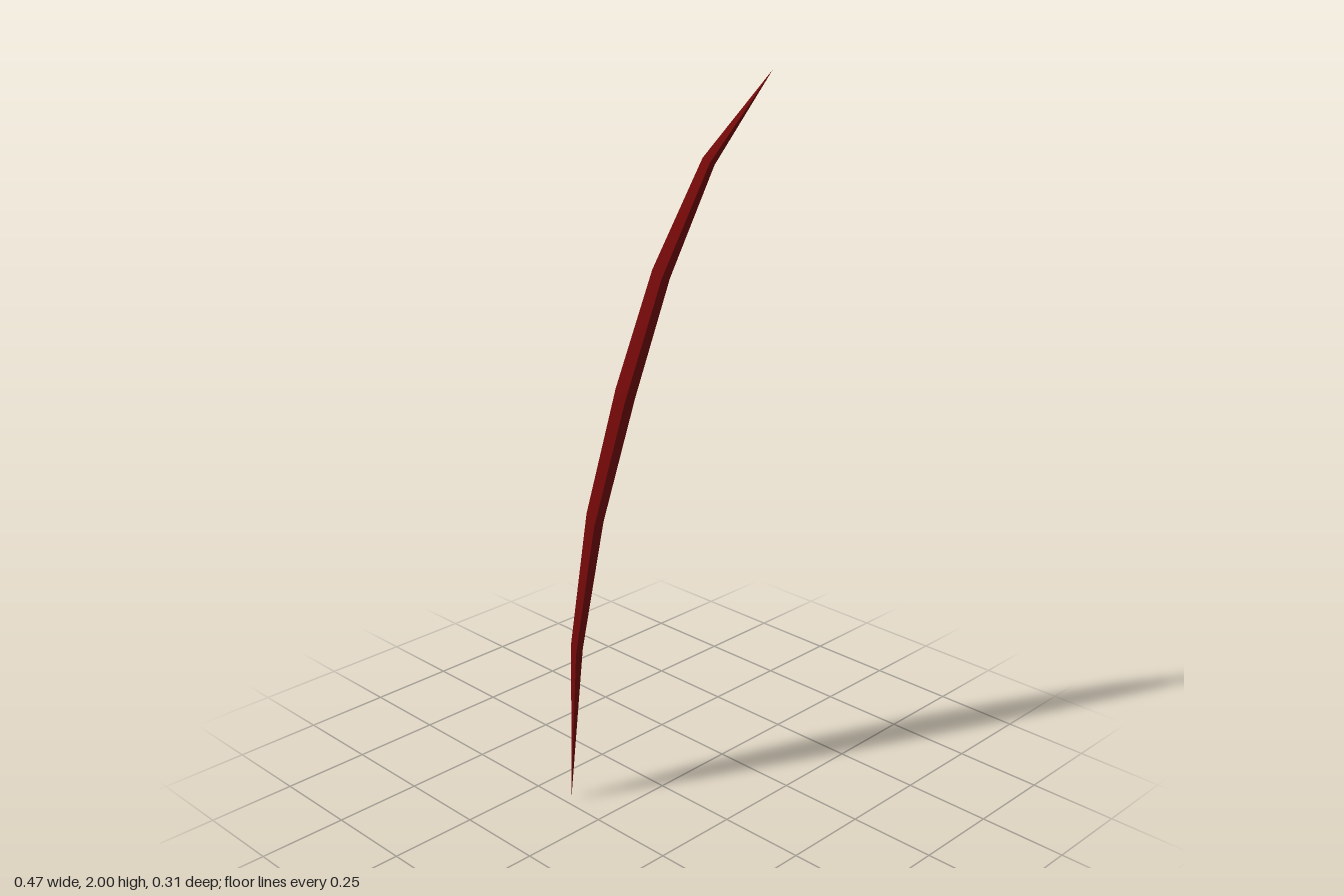
import * as THREE from 'three';
import { toCreasedNormals } from 'three/addons/utils/BufferGeometryUtils.js';

// Centre line of the blade from root to tip: x, y, z, width
const SECTIONS = [
  [-0.229, 0.00, -0.133, 0],
  [-0.216, 0.465, -0.126, 0.073],
  [-0.172, 0.837, -0.099, 0.104],
  [-0.100, 1.18, -0.055, 0.117],
  [-0.018, 1.497, -0.002, 0.104],
  [0.090, 1.782, 0.065, 0.072],
  [0.233, 2.00, 0.154, 0],
];
const ROWS = SECTIONS.length - 1;
const KEEL_DEPTH = 0.35; // share of the width

// Corners of the triangular section: [across, towards the keel]
const CORNERS = [[0.5, 0], [0, KEEL_DEPTH], [-0.5, 0]];

const centre = (row) => new THREE.Vector3(...SECTIONS[THREE.MathUtils.clamp(row, 0, ROWS)]);

export function createModel() {
  const group = new THREE.Group();
  group.name = 'grassBlade';

  // Three-sided tube: flat on its upper side, keeled underneath, pointed at both ends
  const tube = new THREE.CylinderGeometry(0, 0, 1, 3, ROWS, true);
  const across = new THREE.Vector3(-0.53, 0, 0.85).normalize();
  const pos = tube.attributes.position;
  for (let i = 0; i < pos.count; i++) {
    const row = ROWS - Math.floor(i / 4);
    const width = SECTIONS[row][3];
    const [side, depth] = CORNERS[(i % 4) % 3];
    const keel = centre(row + 1).sub(centre(row - 1)).cross(across).normalize();
    const point = centre(row)
      .addScaledVector(across, side * width)
      .addScaledVector(keel, depth * width);
    pos.setXYZ(i, point.x, point.y, point.z);
  }

  const blade = new THREE.Mesh(
    toCreasedNormals(tube, 0.7),
    new THREE.MeshStandardMaterial({ color: 0x700808 }),
  );
  blade.name = 'blade';
  group.add(blade);
  return group;
}
